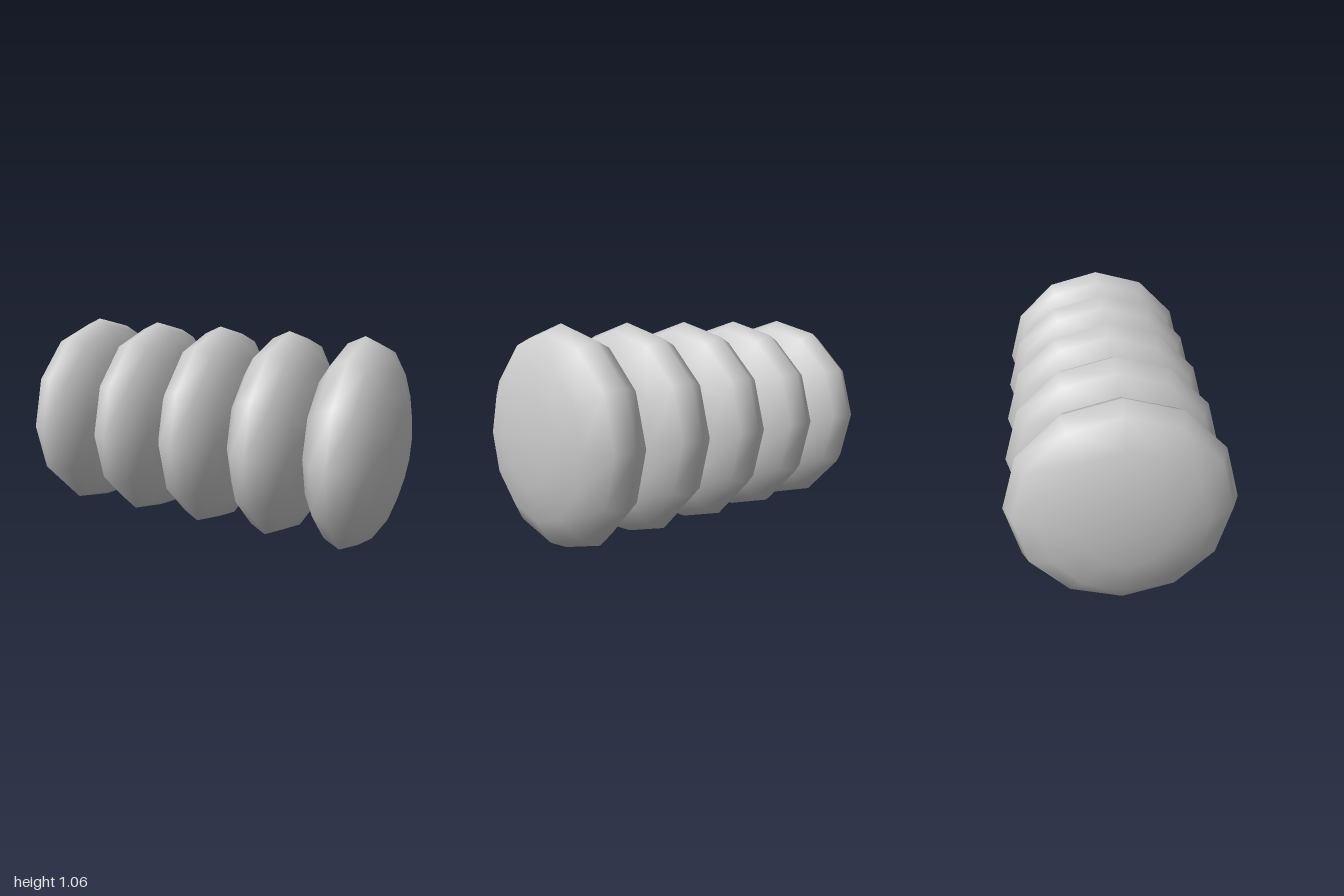
import * as THREE from 'three';

export function createModel() {
  const group = new THREE.Group();
  group.name = 'segmentedRoll';
  const material = new THREE.MeshStandardMaterial({ color: 0xcccccc });

  const radius = 0.53, halfWidth = 0.225, spacing = 0.3875, count = 5;

  // Low-poly sphere, poles turned onto the x axis and squashed into a disc
  const geometry = new THREE.SphereGeometry(1, 12, 8);
  geometry.rotateZ(-Math.PI / 2);
  geometry.scale(halfWidth, radius, radius);

  // Row of overlapping discs
  for (let i = 0; i < count; i++) {
    const segment = new THREE.Mesh(geometry, material);
    segment.name = `segment${i + 1}`;
    segment.position.set((i - (count - 1) / 2) * spacing, radius, 0);
    group.add(segment);
  }
  return group;
}
